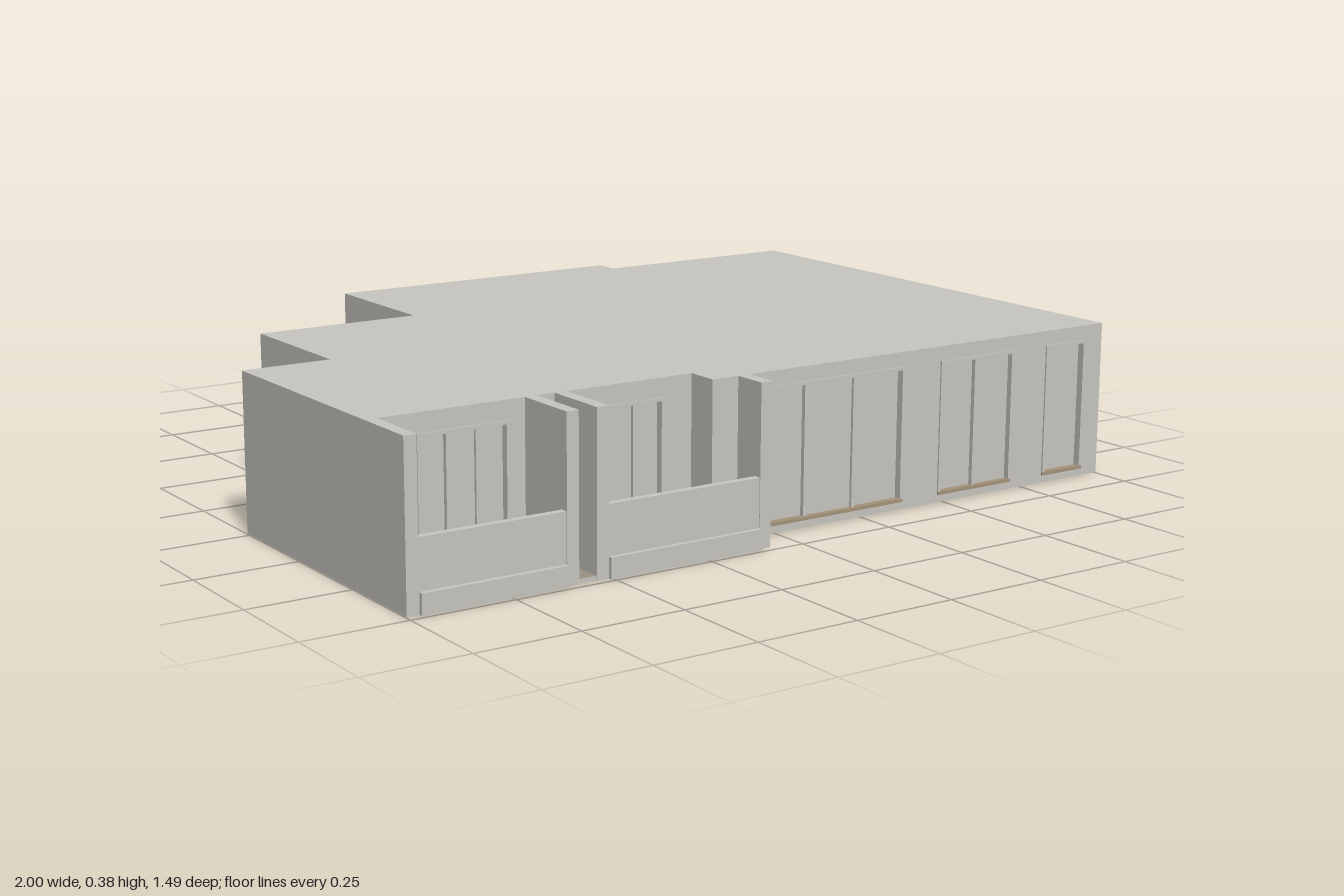
import * as THREE from 'three';

const wallMat = new THREE.MeshStandardMaterial({ color: 0xc8c6c0, name: 'plaster' });
const tileMat = new THREE.MeshStandardMaterial({ color: 0x9a9280, name: 'floorTile' });
const woodMat = new THREE.MeshStandardMaterial({ color: 0x80633f, name: 'woodFloor' });
const sillMat = new THREE.MeshStandardMaterial({ color: 0xa5937a, name: 'threshold' });

const FLOOR = 0.012, CEIL = 0.36, TOP = 0.38, T = 0.03;

// Building outline (x, z), walked so that the outside is on the right
const outline = [
  [-1, 0.57], [-0.18, 0.57], [-0.18, 0.65], [1, 0.65], [1, -0.68], [0.44, -0.68],
  [0.44, -0.745], [-0.36, -0.745], [-0.36, -0.375], [-0.78, -0.375], [-0.78, -0.01], [-1, -0.01],
];

// Openings per outline edge: x range, y range, number of panes (0 = open doorway)
const openings = {
  0: [[-0.88, -0.655, 0.02, 0.335, 3], [-0.48, -0.255, 0.02, 0.335, 3]],
  2: [[-0.06, 0.37, 0.02, 0.345, 3], [0.48, 0.71, 0.02, 0.345, 2], [0.815, 0.945, 0.02, 0.345, 1]],
  4: [[0.77, 0.925, 0.15, 0.335, 2], [0.46, 0.585, 0.15, 0.335, 2]],
  6: [[0.12, 0.29, 0.15, 0.335, 2], [-0.185, -0.06, 0.15, 0.335, 2]],
  8: [[-0.675, -0.545, 0.016, 0.315, 0]],
};

// Box given by its minimum and maximum corners
function box(parent, name, mat, x0, x1, y0, y1, z0, z1) {
  const mesh = new THREE.Mesh(new THREE.BoxGeometry(x1 - x0, y1 - y0, z1 - z0), mat);
  mesh.position.set((x0 + x1) / 2, (y0 + y1) / 2, (z0 + z1) / 2);
  mesh.name = name;
  parent.add(mesh);
}

// Flat slab over a plan outline
function slab(parent, name, points, y0, y1, mats) {
  const shape = new THREE.Shape(points.map(([x, z]) => new THREE.Vector2(x, -z)));
  const geo = new THREE.ExtrudeGeometry(shape, { depth: y1 - y0, bevelEnabled: false });
  geo.rotateX(-Math.PI / 2).translate(0, y0, 0);
  const mesh = new THREE.Mesh(geo, mats);
  mesh.name = name;
  parent.add(mesh);
}

// Frame, mullions and recessed panes in wall space
function addWindow(wall, s0, s1, y0, y1, panes) {
  const f = 0.008, front = 0.004, back = -0.018;
  box(wall, 'windowHead', wallMat, s0, s1, y1 - f, y1, back, front);
  box(wall, 'windowSill', y0 < 0.1 ? sillMat : wallMat, s0, s1, y0, y0 + f, back, front);
  const step = (s1 - s0 - f) / panes;
  for (let i = 0; i <= panes; i++) {
    const s = s0 + i * step;
    const edge = i === 0 || i === panes;
    box(wall, 'windowPost', wallMat, s, s + f, y0 + f, y1 - f, back, edge ? front : -0.003);
  }
  for (let i = 0; i < panes; i++) {
    const s = s0 + f + i * step, z = i % 2 ? -0.01 : -0.014;
    box(wall, 'windowPane', wallMat, s, s + step - f, y0 + f, y1 - f, z - 0.004, z);
  }
}

// Outer wall along one outline edge, with openings cut through
function addWall(parent, [x0, z0], [x1, z1], holes) {
  const length = Math.hypot(x1 - x0, z1 - z0);
  const wall = new THREE.Group();
  wall.name = 'outerWall';
  const shape = new THREE.Shape([[0, FLOOR], [length, FLOOR], [length, CEIL], [0, CEIL]]
    .map(([s, y]) => new THREE.Vector2(s, y)));
  for (const [a, b, y0, y1, panes] of holes) {
    const sa = Math.abs(a - x0), sb = Math.abs(b - x0);
    const s0 = Math.min(sa, sb), s1 = Math.max(sa, sb);
    shape.holes.push(new THREE.Path([[s0, y0], [s0, y1], [s1, y1], [s1, y0]]
      .map(([s, y]) => new THREE.Vector2(s, y))));
    if (panes) addWindow(wall, s0, s1, y0, y1, panes);
  }
  const geo = new THREE.ExtrudeGeometry(shape, { depth: T, bevelEnabled: false });
  const mesh = new THREE.Mesh(geo.translate(0, 0, -T), wallMat);
  mesh.name = 'wallPanel';
  wall.add(mesh);
  wall.position.set(x0, 0, z0);
  wall.rotation.y = Math.atan2(z0 - z1, x1 - x0);
  parent.add(wall);
}

export function createModel() {
  const house = new THREE.Group();
  house.name = 'house';

  // Outer walls and flat roof
  outline.forEach((p, i) => addWall(house, p, outline[(i + 1) % outline.length], openings[i] || []));
  slab(house, 'roof', outline, CEIL, TOP, wallMat);

  // Floor slab including the balconies
  const base = [[-1, 0.732], [-0.08, 0.732], [-0.08, 0.65], ...outline.slice(3)];
  slab(house, 'floor', base, 0.002, FLOOR, [tileMat, wallMat]);

  // Wooden room floors showing on the underside
  const rooms = [[0.58, 0.98, -0.46, -0.1], [0.44, 0.97, -0.07, 0.48],
    [-0.645, -0.235, 0.16, 0.55], [-0.98, -0.66, 0.16, 0.55]];
  for (const [x0, x1, z0, z1] of rooms) box(house, 'roomFloor', woodMat, x0, x1, 0, 0.005, z0, z1);

  // Inner partitions
  const partitions = [[-1, -0.2, 0.12, 0.15], [-0.655, -0.64, 0.15, 0.54], [-0.36, -0.34, -0.375, -0.05],
    [-0.22, -0.2, 0.15, 0.54], [0.42, 0.44, -0.65, 0.5], [0.44, 0.97, -0.1, -0.08]];
  for (const [x0, x1, z0, z1] of partitions) box(house, 'partition', wallMat, x0, x1, FLOOR, CEIL, z0, z1);

  // Balcony side walls
  for (const [x0, x1, z0] of [[-1, -0.97, 0.57], [-0.615, -0.585, 0.57], [-0.54, -0.51, 0.57], [-0.11, -0.08, 0.65]])
    box(house, 'balconySideWall', wallMat, x0, x1, 0.002, TOP, z0, 0.735);

  // Balcony parapets with a low plinth in front
  for (const [x0, x1] of [[-0.97, -0.615], [-0.51, -0.11]]) {
    box(house, 'balconyParapet', wallMat, x0, x1, 0.002, 0.165, 0.715, 0.733);
    box(house, 'balconyPlinth', wallMat, x0, x1, 0.002, 0.05, 0.733, 0.745);
  }
  return house;
}
